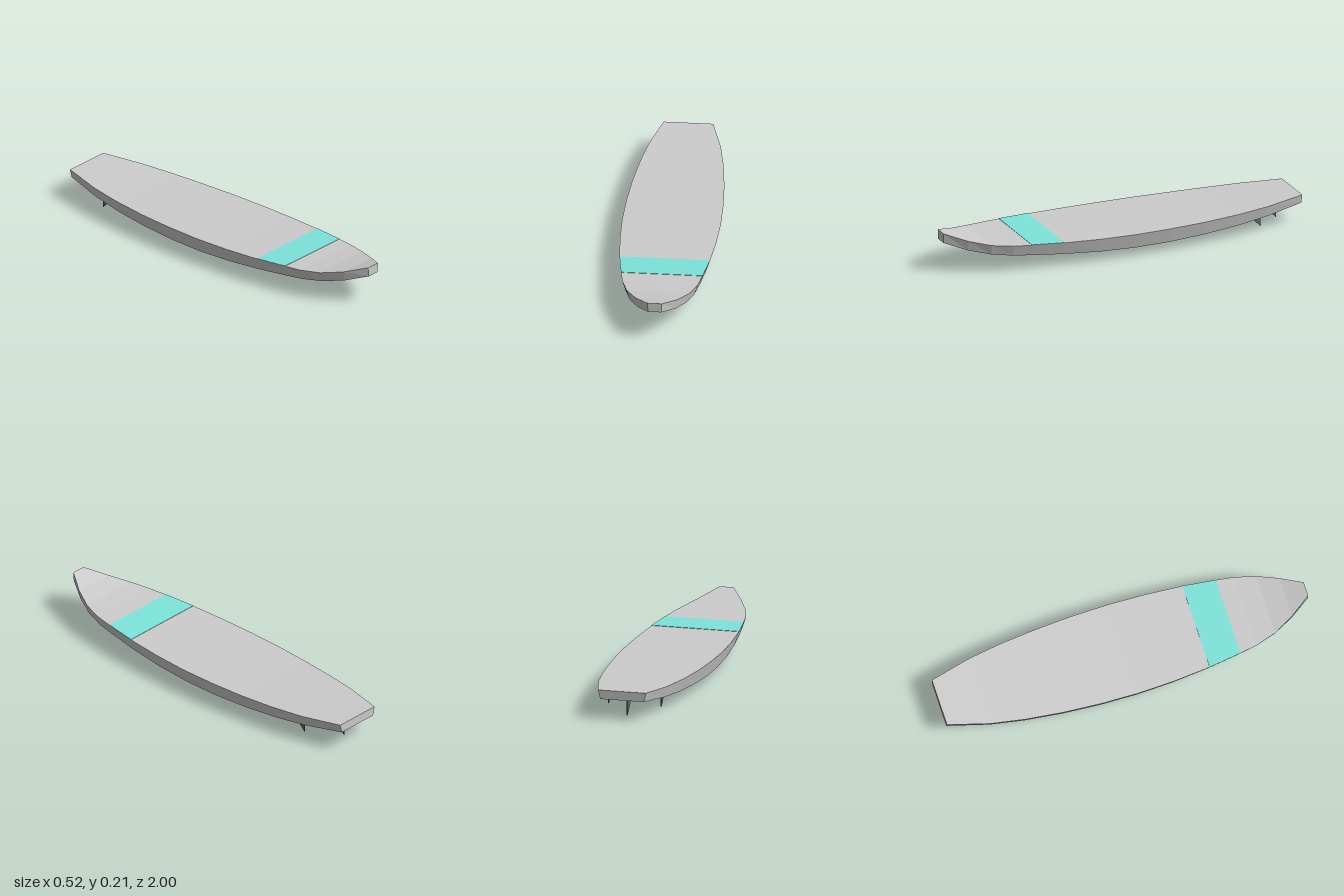
import * as THREE from 'three';

// Board stations from nose to tail: z, half width, deck height, bottom height
const STATIONS = [
  [1, 0.038, 0.213, 0.162],
  [0.89, 0.11, 0.179, 0.126],
  [0.78, 0.165, 0.158, 0.104],
  [0.67, 0.198, 0.149, 0.091],
  [0.56, 0.215, 0.145, 0.082],
  [0.4, 0.236, 0.139, 0.07],
  [0.2, 0.252, 0.134, 0.057],
  [0, 0.258, 0.131, 0.05],
  [-0.2, 0.254, 0.131, 0.05],
  [-0.4, 0.241, 0.132, 0.056],
  [-0.6, 0.219, 0.136, 0.067],
  [-0.78, 0.189, 0.142, 0.082],
  [-1, 0.13, 0.153, 0.105],
];
const BOTTOM_RATIO = 0.907;

// Interpolated station at any z
function stationAt(z) {
  const i = Math.max(1, STATIONS.findIndex((s) => s[0] <= z));
  const a = STATIONS[i - 1], b = STATIONS[i];
  const t = (a[0] - z) / (a[0] - b[0]);
  return a.map((v, k) => v + (b[k] - v) * t);
}

// Joins four-cornered sections, ordered from nose to tail, into a closed solid
function loft(sections) {
  const pos = [];
  const quad = (a, b, c, d) => pos.push(...a, ...b, ...c, ...a, ...c, ...d);
  for (let i = 0; i < sections.length - 1; i++) {
    const s = sections[i], n = sections[i + 1];
    for (let k = 0; k < 4; k++) {
      const j = (k + 1) % 4;
      quad(s[k], s[j], n[j], n[k]);
    }
  }
  const f = sections[0], e = sections[sections.length - 1];
  quad(f[0], f[3], f[2], f[1]);
  quad(e[0], e[1], e[2], e[3]);
  const geo = new THREE.BufferGeometry();
  geo.setAttribute('position', new THREE.Float32BufferAttribute(pos, 3));
  geo.computeVertexNormals();
  return geo;
}

const section = (z, top, bottom, yTop, yBottom) => [
  [-top, yTop, z], [top, yTop, z], [bottom, yBottom, z], [-bottom, yBottom, z],
];

// Triangular fin with an upright trailing edge
function fin(name, x, zFront, zBack, yRoot, yTip, material) {
  const thickness = 0.006;
  const shape = new THREE.Shape();
  shape.moveTo(-zFront, yRoot);
  shape.lineTo(-zBack, yTip);
  shape.lineTo(-zBack, yRoot + 0.01);
  const geo = new THREE.ExtrudeGeometry(shape, { depth: thickness, bevelEnabled: false });
  geo.translate(0, 0, -thickness / 2).rotateY(Math.PI / 2);
  const mesh = new THREE.Mesh(geo, material);
  mesh.name = name;
  mesh.position.x = x;
  return mesh;
}

export function createModel() {
  const group = new THREE.Group();
  group.name = 'surfboard';
  const grey = new THREE.MeshStandardMaterial({ color: 0xcccccc, flatShading: true });
  const teal = new THREE.MeshStandardMaterial({ color: 0x7ce4da, flatShading: true });
  const slate = new THREE.MeshStandardMaterial({ color: 0x4a6b7c, flatShading: true });

  // Board with rocker, slanted rails and blunt ends
  const board = new THREE.Mesh(
    loft(STATIONS.map(([z, w, t, b]) => section(z, w, w * BOTTOM_RATIO, t, b))), grey);
  board.name = 'board';
  group.add(board);

  // Thin coloured band across the deck
  const stripe = new THREE.Mesh(
    loft([0.575, 0.56, 0.4].map((z) => {
      const [, w, t] = stationAt(z);
      return section(z, w, w - 0.001, t + 0.002, t - 0.002);
    })), teal);
  stripe.name = 'deckStripe';
  group.add(stripe);

  // Centre fin and a smaller fin on each side
  group.add(fin('centreFin', 0, -0.815, -0.906, 0.088, 0, slate));
  for (const [name, side] of [['leftFin', 1], ['rightFin', -1]]) {
    group.add(fin(name, side * 0.142, -0.7, -0.757, 0.078, 0.021, slate));
  }
  return group;
}
